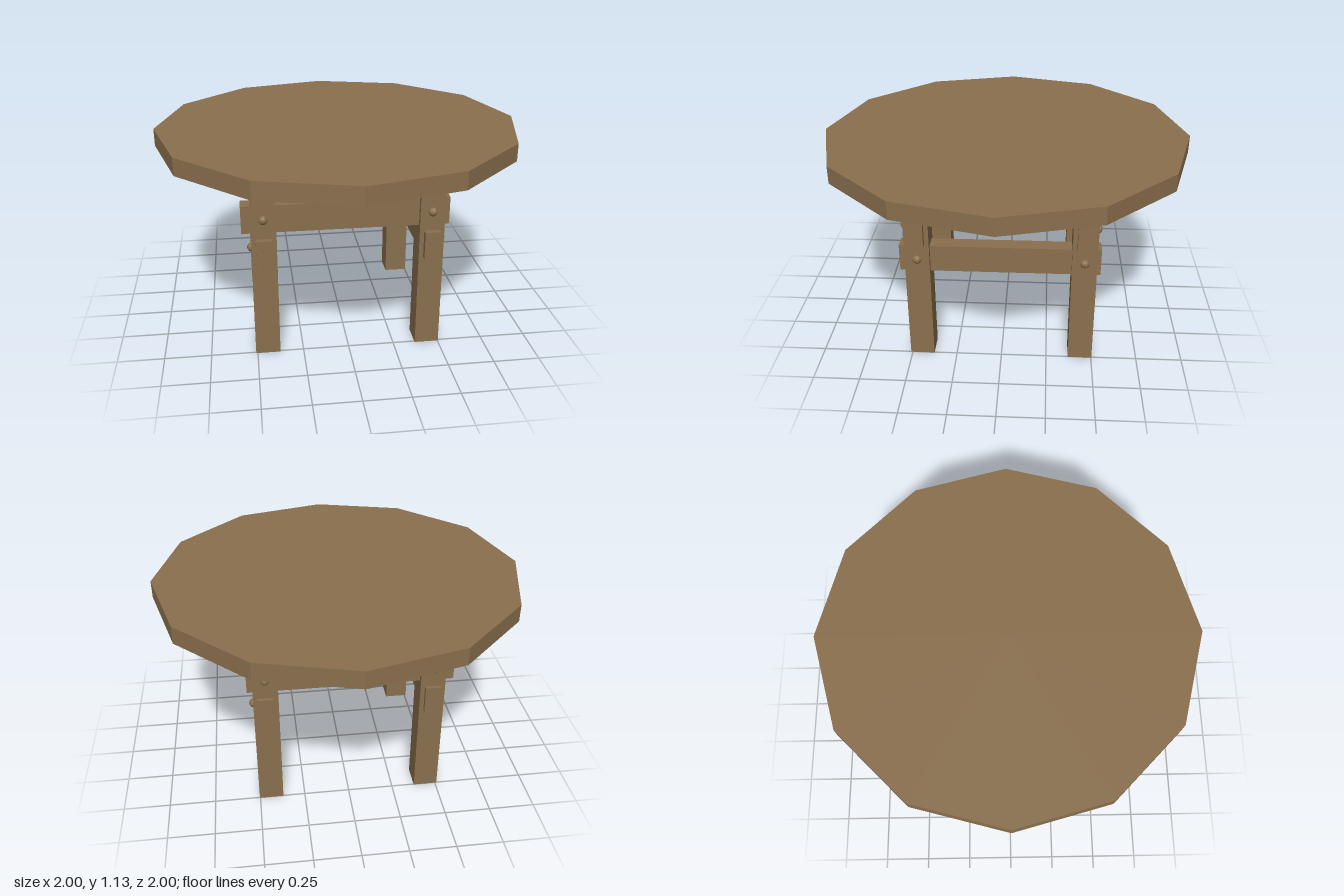
import * as THREE from 'three';

export function createModel() {
  const model = new THREE.Group();
  model.name = 'roundTable';
  const wood = new THREE.MeshStandardMaterial({ color: 0x8a6f4d, flatShading: true });

  const add = (parent, name, geometry, x, y, z) => {
    const mesh = new THREE.Mesh(geometry, wood);
    mesh.name = name;
    mesh.position.set(x, y, z);
    parent.add(mesh);
    return mesh;
  };

  // Twelve-sided top
  add(model, 'tableTop', new THREE.CylinderGeometry(1, 1, 0.095, 12), 0, 1.0875, 0);

  // Base frame
  const base = new THREE.Group();
  base.name = 'base';
  base.position.set(-0.003, 0, 0.003);
  model.add(base);

  const legAt = 0.44, legWidth = 0.132, legHeight = 1.04, railWidth = 0.084;
  const legGeometry = new THREE.BoxGeometry(legWidth, legHeight, legWidth);
  const pegGeometry = new THREE.SphereGeometry(0.025, 10, 8);

  for (const a of [-1, 1]) {
    // Stretchers run through the legs and stick out as tenons
    add(base, 'upperStretcher', new THREE.BoxGeometry(1.088, 0.15, railWidth), -0.009, 0.78, a * legAt);
    add(base, 'lowerStretcher', new THREE.BoxGeometry(railWidth, 0.15, 1.064), a * legAt, 0.605, 0.005);

    // Aprons under the top, between the legs
    add(base, 'frontBackApron', new THREE.BoxGeometry(0.735, 0.1, railWidth), 0, 0.99, a * legAt);
    add(base, 'sideApron', new THREE.BoxGeometry(railWidth, 0.1, 0.75), a * legAt, 0.99, 0);

    for (const b of [-1, 1]) {
      add(base, 'leg', legGeometry, a * legAt, legHeight / 2, b * legAt);
      // Domed pegs that lock the tenons
      add(base, 'upperPeg', pegGeometry, a * legAt, 0.785, b * 0.502);
      add(base, 'lowerPeg', pegGeometry, a * 0.502, 0.61, b * legAt);
    }
  }
  return model;
}
